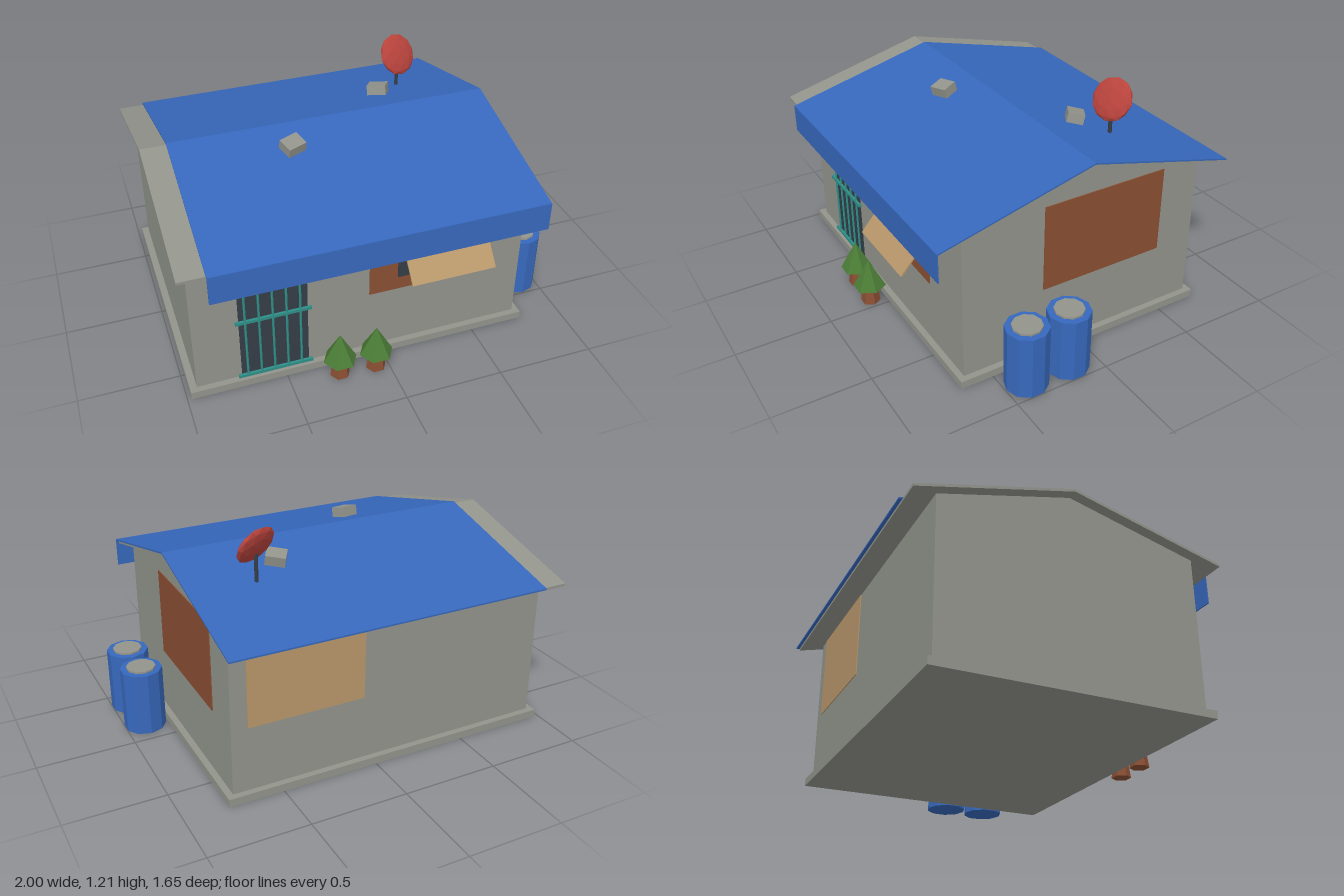
import * as THREE from 'three';

const mat = (name, color) => {
  const m = new THREE.MeshStandardMaterial({ color });
  m.name = name;
  return m;
};

export function createModel() {
  const house = new THREE.Group();
  house.name = 'house';

  const grey = mat('concrete grey', 0x92948c);
  const blue = mat('tarp blue', 0x3768bc);
  const rust = mat('rust brown', 0x8a4f33);
  const tan = mat('plywood tan', 0xb8976a);
  const dark = mat('dark slate', 0x353d47);
  const teal = mat('bar teal', 0x2f8f88);
  const red = mat('dish red', 0xb8433c);
  const green = mat('leaf green', 0x4b7c36);

  const add = (name, geo, material, x = 0, y = 0, z = 0, parent = house) => {
    // unshared vertices give every facet its own flat normal
    const g = geo.index ? geo.toNonIndexed() : geo;
    g.computeVertexNormals();
    const mesh = new THREE.Mesh(g, material);
    mesh.name = name;
    mesh.position.set(x, y, z);
    parent.add(mesh);
    return mesh;
  };
  // box given by its limits on each axis
  const block = (name, material, [x0, x1], [y0, y1], [z0, z1]) =>
    add(name, new THREE.BoxGeometry(x1 - x0, y1 - y0, z1 - z0), material,
      (x0 + x1) / 2, (y0 + y1) / 2, (z0 + z1) / 2);

  // gable profiles, drawn as (-z, y) and extruded along x
  const ridge = 0.025, slope = 0.255;
  const extrudeX = (name, material, points, x0, x1) => {
    const shape = new THREE.Shape(points.map(([s, y]) => new THREE.Vector2(s + ridge, y)));
    const geo = new THREE.ExtrudeGeometry(shape, { depth: x1 - x0, bevelEnabled: false });
    geo.rotateY(Math.PI / 2);
    return add(name, geo, material, x0);
  };
  const chevron = (name, material, top, half, thick, x0, x1) => {
    const eave = top - half * slope;
    extrudeX(name, material, [
      [-half, eave - thick], [0, top - thick], [half, eave - thick],
      [half, eave], [0, top], [-half, eave],
    ], x0, x1);
  };

  // foundation, walls, roof and tarp
  block('foundation', grey, [-0.98, 0.78], [0, 0.04], [-0.72, 0.67]);
  const w = 0.663, eaveY = 0.993 - w * slope;
  extrudeX('walls', grey, [[-w, 0.04], [w, 0.04], [w, eaveY], [0, 0.993], [-w, eaveY]], -0.945, 0.747);
  chevron('roof', grey, 1.006, 0.788, 0.014, -1, 0.79);
  chevron('roofTarp', blue, 1.015, 0.805, 0.008, -0.87, 0.8);
  block('tarpFlap', blue, [-0.87, 0.8], [0.66, 0.81], [0.777, 0.783]);

  // wall patches
  block('frontPatch', rust, [-0.065, 0.43], [0.375, 0.82], [0.636, 0.643]);
  block('sidePatch', rust, [0.744, 0.752], [0.375, 0.83], [-0.475, 0.205]);
  block('backPatch', tan, [0.06, 0.665], [0.375, 0.82], [-0.693, -0.686]);

  // window with a propped awning
  block('window', dark, [0.08, 0.5], [0.45, 0.76], [0.64, 0.648]);
  const awning = add('awning', new THREE.BoxGeometry(0.43, 0.266, 0.008), tan, 0.295, 0.63, 0.733);
  awning.rotation.x = -0.72;

  // door and its bars
  block('door', dark, [-0.72, -0.38], [0.04, 0.77], [0.637, 0.643]);
  for (let i = 0; i < 5; i++) {
    add('doorBar', new THREE.CylinderGeometry(0.006, 0.006, 0.72, 6), teal, -0.69 + i * 0.068, 0.41, 0.648);
  }
  for (const y of [0.052, 0.39, 0.728]) {
    block('doorRail', teal, [-0.738, -0.362], [y - 0.008, y + 0.008], [0.642, 0.656]);
  }

  // water barrels
  for (const z of [0.155, 0.387]) {
    add('barrel', new THREE.CylinderGeometry(0.108, 0.108, 0.335, 10), blue, 0.895, 0.1675, z);
    add('barrelLid', new THREE.CylinderGeometry(0.075, 0.075, 0.015, 10), grey, 0.895, 0.3375, z);
  }

  // little trees
  for (const [x, z] of [[-0.25, 0.738], [-0.065, 0.748]]) {
    const tree = new THREE.Group();
    tree.name = 'tree';
    tree.position.set(x, 0, z);
    house.add(tree);
    add('trunk', new THREE.CylinderGeometry(0.038, 0.051, 0.1, 6, 1, false, Math.PI / 6), rust, 0, 0.05, 0, tree);
    add('foliage', new THREE.ConeGeometry(0.085, 0.155, 6, 1, false, Math.PI / 6), green, 0, 0.1725, 0, tree);
  }

  // bricks weighing down the tarp
  for (const [x, y, z, tilt, yaw] of [[-0.29, 0.995, 0.16, 0.25, 0.35], [0.31, 0.985, -0.255, -0.25, -0.55]]) {
    const brick = add('brick', new THREE.BoxGeometry(0.1, 0.052, 0.085), grey, x, y, z);
    brick.rotation.set(tilt, yaw, 0);
  }

  // dish on its pole
  add('dishPole', new THREE.CylinderGeometry(0.01, 0.01, 0.16, 8), dark, 0.46, 1.0, -0.36);
  const dishGeo = new THREE.IcosahedronGeometry(0.11, 1);
  dishGeo.scale(1, 1, 0.26);
  const dish = add('dish', dishGeo, red, 0.462, 1.11, -0.362);
  dish.lookAt(0.462 + 0.3, 1.11 + 0.47, -0.362 + 0.82);

  return house;
}
